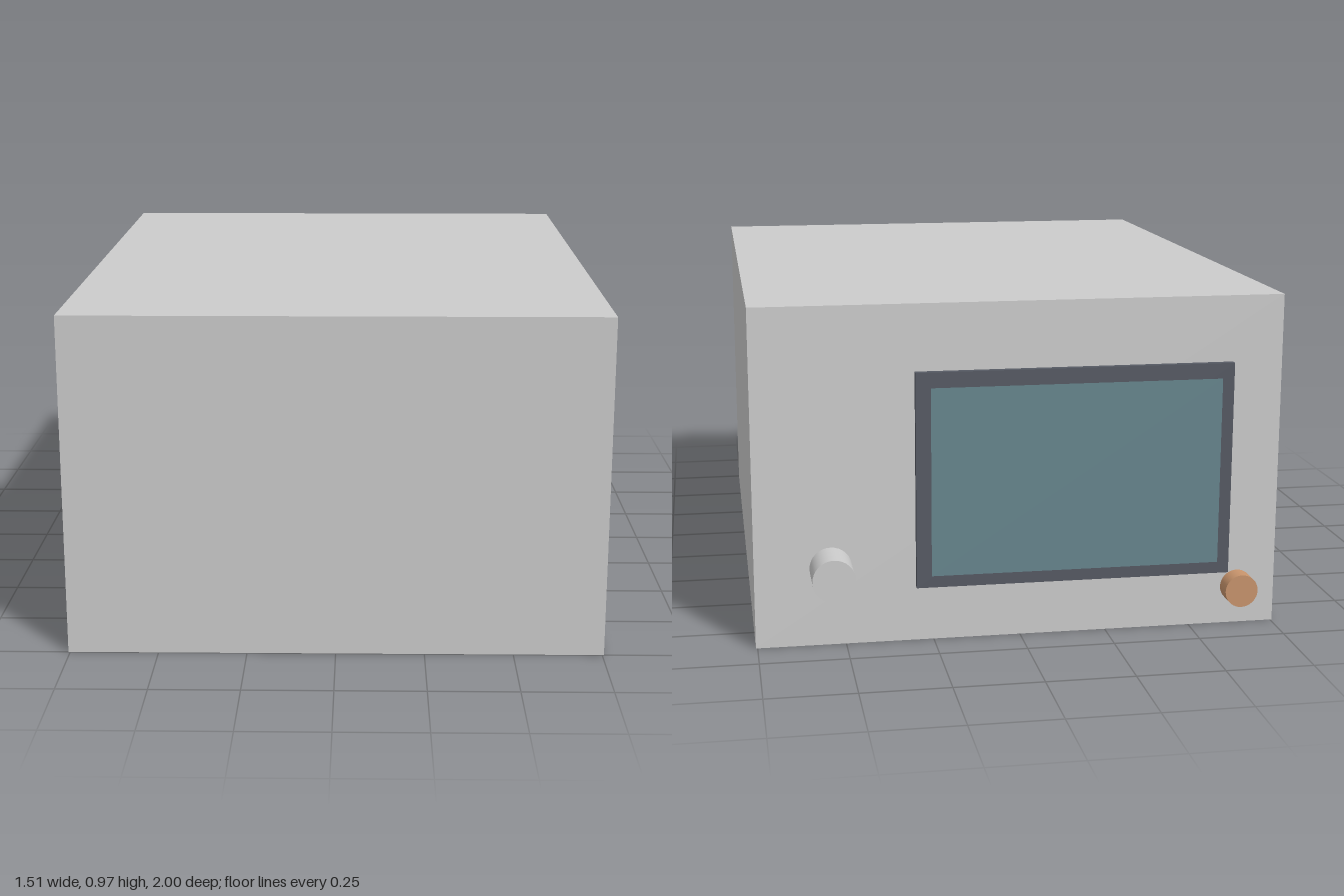
import * as THREE from 'three';

const BACK = -0.88; // z of the panel that carries the controls

export function createModel() {
  const group = new THREE.Group();
  const grey = new THREE.MeshStandardMaterial({ color: 0xcccccc });
  const dark = new THREE.MeshStandardMaterial({ color: 0x555963 });
  const teal = new THREE.MeshStandardMaterial({ color: 0x66858d, side: THREE.DoubleSide });
  const copper = new THREE.MeshStandardMaterial({ color: 0xc8946c });

  const add = (name, geometry, material, x, y, z) => {
    const mesh = new THREE.Mesh(geometry, material);
    mesh.name = name;
    mesh.position.set(x, y, z);
    group.add(mesh);
    return mesh;
  };

  // Round knob standing out from the back panel
  const addKnob = (name, radius, depth, material, x, y) => {
    const geometry = new THREE.CylinderGeometry(radius, radius, depth, 32).rotateX(-Math.PI / 2);
    return add(name, geometry, material, x, y, BACK - depth / 2);
  };

  // Plain box housing
  add('housing', new THREE.BoxGeometry(1.51, 0.97, 1.88), grey, 0, 0.485, 0.06);

  // Screen frame with the glass floating just off it
  add('screenFrame', new THREE.BoxGeometry(0.91, 0.62, 0.02), dark, -0.155, 0.47, BACK - 0.01);
  add('screenGlass', new THREE.PlaneGeometry(0.83, 0.54).rotateY(Math.PI), teal, -0.155, 0.47, BACK - 0.04);

  // Controls
  addKnob('largeKnob', 0.06, 0.12, grey, 0.54, 0.226);
  addKnob('smallKnob', 0.048, 0.055, copper, -0.642, 0.112);

  return group;
}
